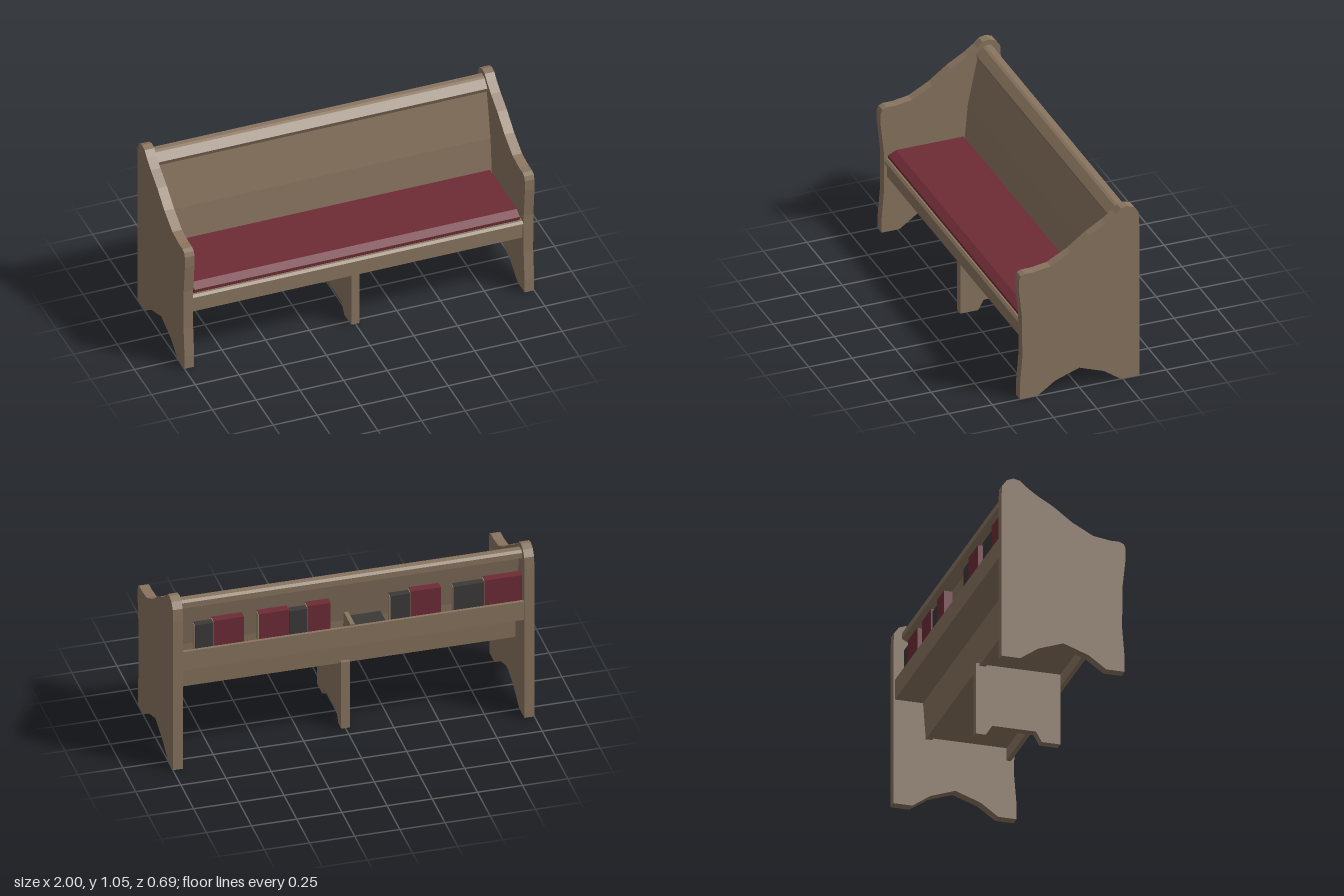
import * as THREE from 'three';

const material = (name, color) => {
  const m = new THREE.MeshStandardMaterial({ color });
  m.name = name;
  return m;
};

export function createModel() {
  const pew = new THREE.Group();
  pew.name = 'pew';
  const wood = material('wood', 0x8a7560);
  const maroon = material('maroon', 0x6e2c36);
  const charcoal = material('charcoal', 0x3c3939);
  const paper = material('paper', 0x9a8a70);

  // Side profile given as [z, y] points, extruded along x
  function profile(name, points, width, x, mat, parent = pew) {
    const shape = new THREE.Shape(points.map(([z, y]) => new THREE.Vector2(z, y)));
    const geo = new THREE.ExtrudeGeometry(shape, { depth: width, bevelEnabled: false });
    geo.rotateY(-Math.PI / 2).translate(x + width / 2, 0, 0);
    const mesh = new THREE.Mesh(geo, mat);
    mesh.name = name;
    parent.add(mesh);
  }

  // Box given by its limits on each axis
  function box(name, [x0, x1], [y0, y1], [z0, z1], mat, parent = pew) {
    const mesh = new THREE.Mesh(new THREE.BoxGeometry(x1 - x0, y1 - y0, z1 - z0), mat);
    mesh.position.set((x0 + x1) / 2, (y0 + y1) / 2, (z0 + z1) / 2);
    mesh.name = name;
    parent.add(mesh);
  }

  // Scrolled end panels with an arched foot cut-out
  const endPoints = [
    [0.342, 0], [0.342, 0.08], [0.328, 0.25], [0.329, 0.49], [0.347, 0.66], [0.347, 0.725],
    [0.337, 0.75], [0.312, 0.76], [0.26, 0.76], [0.165, 0.775], [0.05, 0.837], [-0.055, 0.915],
    [-0.15, 0.97], [-0.21, 1.013], [-0.24, 1.042], [-0.278, 1.05], [-0.315, 1.036],
    [-0.341, 1.0], [-0.345, 0.93], [-0.345, 0], [-0.24, 0], [-0.14, 0.07], [0, 0.12],
    [0.14, 0.07], [0.24, 0],
  ];
  profile('leftEndPanel', endPoints, 0.055, 0.9725, wood);
  profile('rightEndPanel', endPoints, 0.055, -0.9725, wood);

  // Centre support under the seat
  profile('centreSupport', [
    [0.285, 0], [0.285, 0.415], [-0.185, 0.415], [-0.185, 0], [-0.13, 0],
    [-0.095, 0.057], [0.15, 0.057], [0.182, 0],
  ], 0.048, 0, wood);

  // Seat board with a rounded nose, and the apron below it
  const inner = 1.89;
  profile('seatBoard', [
    [-0.165, 0.41], [0.31, 0.41], [0.325, 0.42], [0.325, 0.435], [0.312, 0.447], [-0.165, 0.447],
  ], inner, 0, wood);
  box('seatApron', [-inner / 2, inner / 2], [0.337, 0.411], [0.285, 0.31], wood);

  // Seat cushion
  profile('cushion', [
    [-0.125, 0.447], [0.298, 0.447], [0.31, 0.458], [0.31, 0.474], [0.265, 0.497], [-0.125, 0.497],
  ], 1.86, 0, maroon);

  // Bent backrest and its top rail
  profile('backrest', [
    [-0.13, 0.4], [-0.155, 0.68], [-0.212, 0.96], [-0.24, 0.96], [-0.185, 0.68], [-0.165, 0.4],
  ], inner, 0, wood);
  profile('topRail', [
    [-0.21, 0.945], [-0.2, 0.972], [-0.24, 1.012], [-0.255, 1.018], [-0.285, 1.018],
    [-0.297, 1.005], [-0.297, 0.972], [-0.25, 0.945],
  ], inner, 0, wood);

  // Book rack on the back
  box('rackBoard', [-inner / 2, inner / 2], [0.61, 0.725], [-0.337, -0.32], wood);
  box('rackShelf', [-inner / 2, inner / 2], [0.61, 0.625], [-0.32, -0.175], wood);
  box('rackDivider', [-0.012, 0.012], [0.62, 0.735], [-0.325, -0.18], wood);

  // Standing books: [x start, x end, top, cover]
  const books = [
    [0.77, 0.87, 0.865, charcoal], [0.6, 0.77, 0.88, maroon],
    [0.35, 0.52, 0.88, maroon], [0.25, 0.35, 0.865, charcoal], [0.12, 0.25, 0.885, maroon],
    [-0.32, -0.21, 0.865, charcoal], [-0.49, -0.32, 0.88, maroon],
    [-0.73, -0.56, 0.865, charcoal], [-0.94, -0.73, 0.88, maroon],
  ];
  for (const [x0, x1, top, cover] of books) {
    const book = new THREE.Group();
    book.name = 'book';
    const back = cover === maroon ? -0.319 : -0.312;
    box('bookCover', [x0, x1 - 0.004], [0.625, top], [back, -0.272], cover, book);
    box('bookPages', [x1 - 0.004, x1], [0.63, top - 0.005], [back + 0.005, -0.277], paper, book);
    pew.add(book);
  }

  // Book lying flat beside the divider
  box('lyingBookPages', [-0.185, -0.025], [0.625, 0.7], [-0.31, -0.2], paper);
  box('lyingBookCover', [-0.19, -0.02], [0.7, 0.709], [-0.315, -0.195], charcoal);

  return pew;
}
